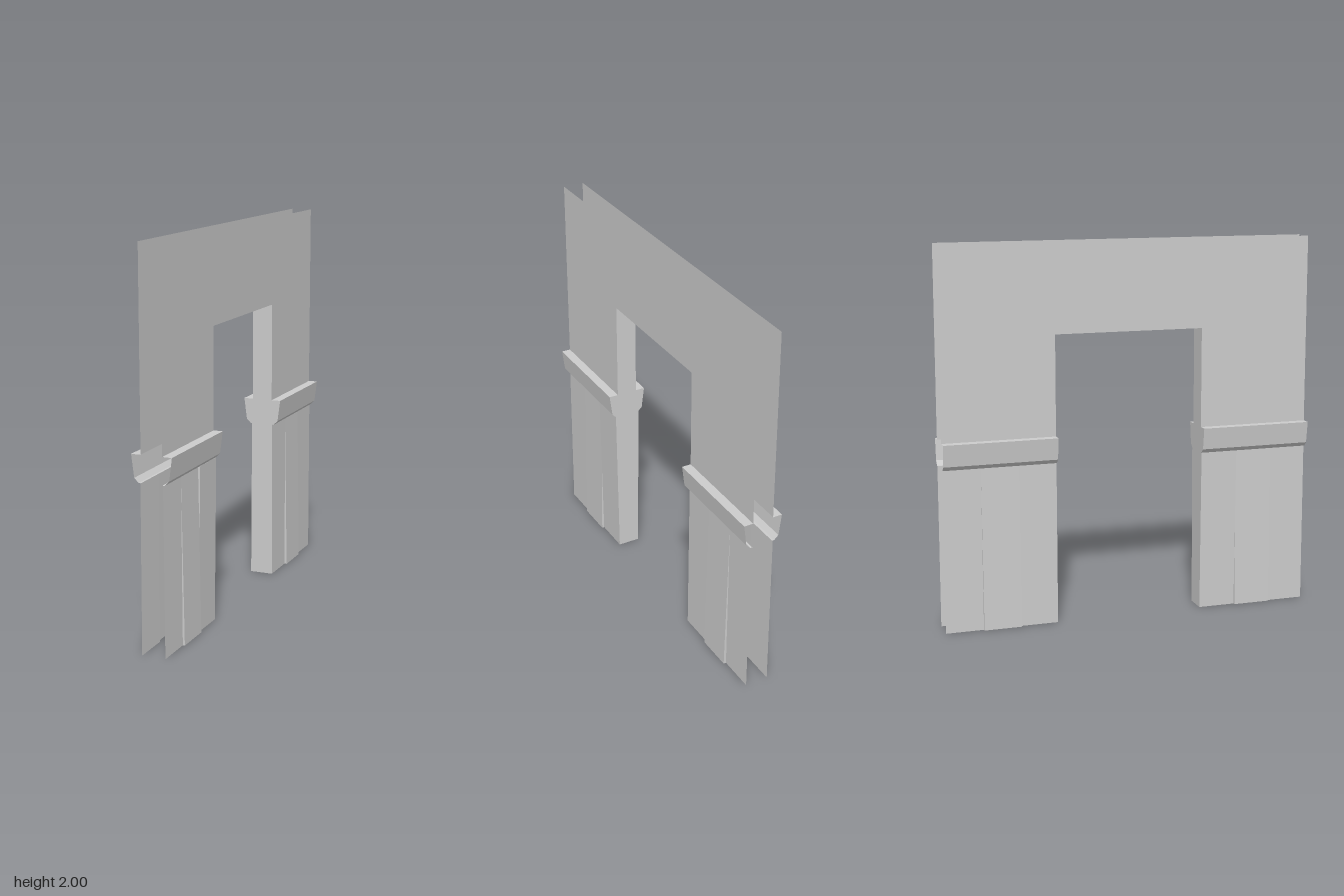
import * as THREE from 'three';

const WALL = 0.056, TOP = 2, LINTEL = 1.53, LEDGE = 1.0, PANEL = 0.862;
const INNER = 0.4, PLANK = 0.2;

// Half profile of the moulding, from the wall out and back to the planks
const TRIM = [[WALL, LEDGE], [0.106, LEDGE], [0.091, 0.885], [0.068, PANEL], [WALL, PANEL]];

// Each plank's outward x at its top and bottom, from the opening outward
const FRONT_PLANKS = [[0.07, 0.06], [0.059, 0.073], [0.059, 0.062]];
const BACK_PLANKS = [[0.06, 0.063], [0.06, 0.076], [0.06, 0.062]];

const material = new THREE.MeshStandardMaterial({
  color: 0xcccccc, flatShading: true, side: THREE.DoubleSide,
});

function mesh(geometry, name) {
  const m = new THREE.Mesh(geometry, material);
  m.name = name;
  return m;
}

// Sweeps an xy profile (listed top to bottom) straight along z
function sweep(profile, z0, z1) {
  const a = Math.max(z0, z1), b = Math.min(z0, z1), pos = [];
  for (let i = 0; i < profile.length - 1; i++) {
    const [x0, y0] = profile[i], [x1, y1] = profile[i + 1];
    pos.push(x0, y0, a, x1, y1, a, x1, y1, b, x0, y0, a, x1, y1, b, x0, y0, b);
  }
  const g = new THREE.BufferGeometry();
  g.setAttribute('position', new THREE.Float32BufferAttribute(pos, 3));
  g.computeVertexNormals();
  return g;
}

// Flat xy outline placed at a given z, facing +z or -z
function plate(points, z, facing) {
  const g = new THREE.ShapeGeometry(new THREE.Shape(points.map(([x, y]) => new THREE.Vector2(x, y))));
  if (facing < 0) g.rotateY(Math.PI);
  return g.translate(0, 0, z);
}

// Thin triangles closing the step between two neighbouring tilted planks
function addSteps(group, [t1, b1], [t2, b2], z) {
  const s = (t1 - t2) / ((t1 - t2) - (b1 - b2));
  const cross = [t1 + (b1 - t1) * s, PANEL * (1 - s)];
  if (t1 !== t2) group.add(mesh(plate([[t1, PANEL], [t2, PANEL], cross], z, 1), 'upperPlankStep'));
  group.add(mesh(plate([[b1, 0], [b2, 0], cross], z, 1), 'lowerPlankStep'));
}

// One face of the wall: header, mouldings and planks, on the +x side
function wallFace() {
  const face = new THREE.Group();

  // Wall sheet above the mouldings, cut out by the doorway
  const header = new THREE.Shape([
    [-1, LEDGE], [-INNER, LEDGE], [-INNER, LINTEL], [INNER, LINTEL],
    [INNER, LEDGE], [1, LEDGE], [1, TOP], [-1, TOP],
  ].map(([u, y]) => new THREE.Vector2(u, y)));
  face.add(mesh(new THREE.ShapeGeometry(header).rotateY(Math.PI / 2).translate(WALL, 0, 0), 'wallSheet'));

  for (const [side, planks] of [[1, FRONT_PLANKS], [-1, BACK_PLANKS]]) {
    face.add(mesh(sweep(TRIM, side * INNER, side), 'moulding'));
    planks.forEach(([top, bottom], i) => {
      const z = side * (INNER + PLANK * i);
      face.add(mesh(sweep([[top, PANEL], [bottom, 0]], z, z + side * PLANK), 'plank'));
      if (i > 0) addSteps(face, planks[i - 1], planks[i], z);
    });
  }
  return face;
}

export function createModel() {
  const model = new THREE.Group();
  model.name = 'doorwayWall';

  // Two mirrored faces
  const left = wallFace();
  left.name = 'leftFace';
  const right = wallFace();
  right.name = 'rightFace';
  right.scale.x = -1;
  model.add(left, right);

  // Underside of the lintel
  const soffit = new THREE.PlaneGeometry(WALL * 2, INNER * 2).rotateX(Math.PI / 2).translate(0, LINTEL, 0);
  model.add(mesh(soffit, 'lintelUnderside'));

  // Doorway reveals, following the moulding and innermost plank
  for (const [side, planks] of [[1, FRONT_PLANKS], [-1, BACK_PLANKS]]) {
    const [top, bottom] = planks[0];
    const half = [[WALL, LINTEL], ...TRIM.slice(0, 4), [top, PANEL], [bottom, 0]];
    const outline = [...half, ...half.map(([x, y]) => [-x, y]).reverse()];
    model.add(mesh(plate(outline, side * INNER, -side), 'doorwayReveal'));
  }
  return model;
}
